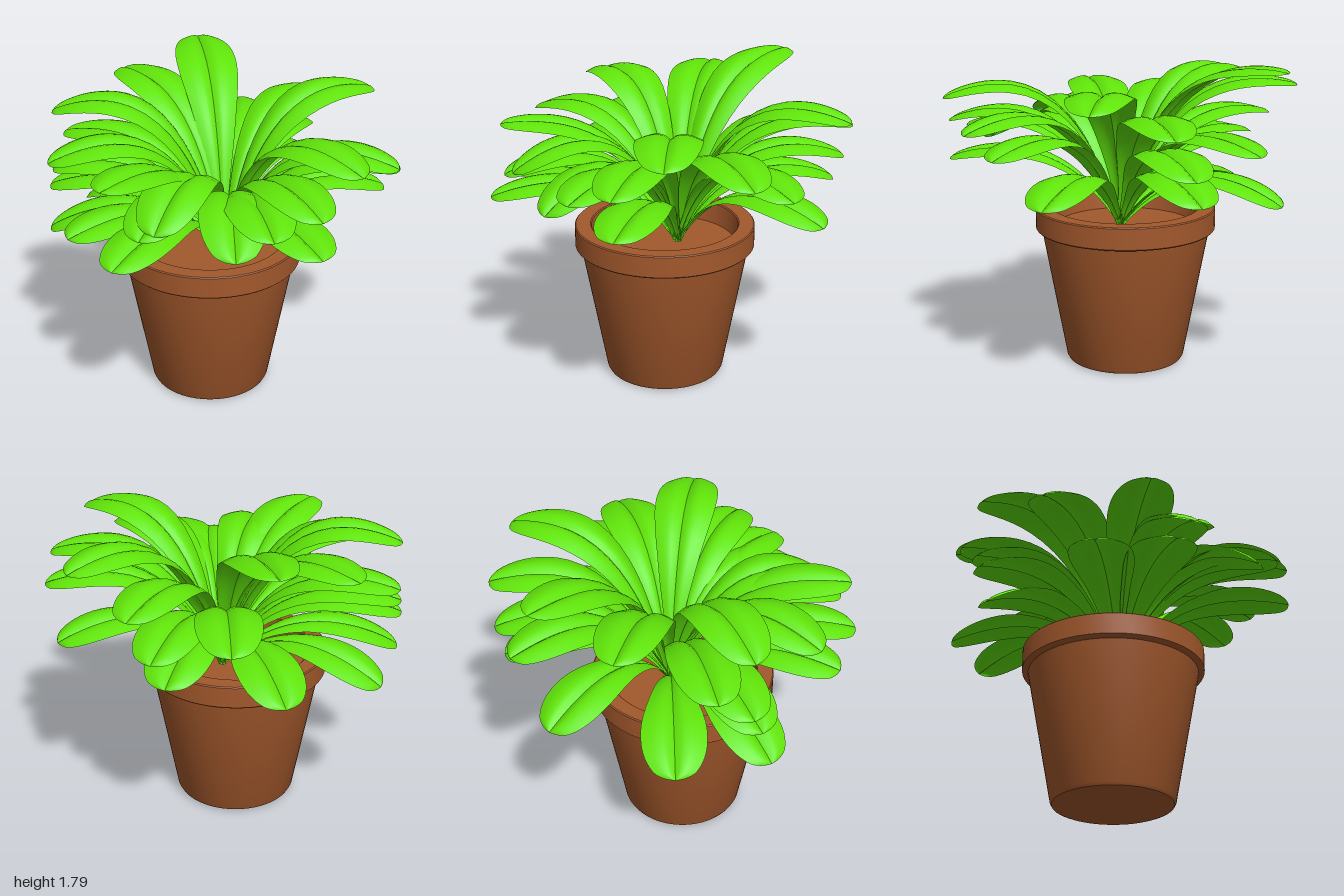
import * as THREE from 'three';
import { toCreasedNormals } from 'three/addons/utils/BufferGeometryUtils.js';

const HUB = { x: -0.005, y: 0.82, z: -0.03 };

// Tip x, tip z, tip height, height of the arch
const LEAVES = [
  // upper tier
  [-0.22, -1.0, 1.5, 1.56], [0.21, -0.99, 1.63, 1.69], [-0.85, -0.57, 1.77, 1.72],
  [-0.99, -0.1, 1.64, 1.64], [-0.79, 0.57, 1.6, 1.71], [-0.44, 0.86, 1.47, 1.57],
  [0.14, 0.95, 1.53, 1.5], [0.75, 0.57, 1.23, 1.45], [0.985, -0.09, 1.58, 1.66],
  [0.85, -0.53, 1.45, 1.53],
  // middle tier
  [0.41, 0.82, 1.34, 1.54], [0.97, 0.18, 1.41, 1.49], [0.87, 0.42, 1.34, 1.41],
  [0.7, -0.72, 1.35, 1.42], [-0.69, -0.74, 1.36, 1.43], [-0.9, 0.41, 1.4, 1.44],
  [-0.8, 0.58, 1.25, 1.32], [0.36, 0.88, 1.31, 1.43], [-0.33, -0.95, 1.28, 1.38],
  // lower tier
  [0.27, 0.99, 1.14, 1.22], [-0.16, 0.95, 1.15, 1.2], [-0.73, 0.67, 0.92, 1.11],
  [-0.95, 0.2, 0.91, 1.1], [-0.85, -0.5, 1.03, 1.19], [-0.37, -0.89, 1.13, 1.25],
  [0.45, -0.87, 1.12, 1.23], [0.97, 0.17, 1.19, 1.25], [-0.78, 0.62, 1.16, 1.26],
];

// Half width along the leaf: thin stalk, broad blade, round tip
const WIDTH = new THREE.CatmullRomCurve3([
  [0, 0.022], [0.2, 0.045], [0.45, 0.11], [0.72, 0.175], [0.87, 0.162], [0.96, 0.11], [0.99, 0.055], [1, 0.004],
].map(([t, w]) => new THREE.Vector3(t, w, 0)));

function leafGeometry([tipX, tipZ, tipY, peak]) {
  const dx = tipX - HUB.x, dz = tipZ - HUB.z;
  const length = Math.hypot(dx, dz), c = dx / length, s = dz / length;
  const spine = new THREE.CubicBezierCurve(
    new THREE.Vector2(0.005, HUB.y),
    new THREE.Vector2(0.24 * length, peak - 0.02),
    new THREE.Vector2(0.58 * length, peak + 0.06),
    new THREE.Vector2(length, tipY));
  const rows = 32, cols = 6, pos = [], index = [];
  // Two softly bulging halves meet in a sharp midrib
  for (const side of [-1, 1]) {
    const start = pos.length / 3;
    for (let i = 0; i <= rows; i++) {
      const station = WIDTH.getPoint(i / rows);
      const t = Math.min(1, station.x);
      const p = spine.getPointAt(t), tan = spine.getTangentAt(t);
      for (let j = 0; j <= cols; j++) {
        const v = side < 0 ? j / cols - 1 : j / cols;
        const w = v * station.y;
        const lift = station.y * 0.17 * Math.sin(Math.PI * Math.abs(v) ** 0.75);
        const r = p.x - tan.y * lift;
        pos.push(r * c - w * s, p.y + tan.x * lift, r * s + w * c);
      }
    }
    for (let i = 0; i < rows; i++) for (let j = 0; j < cols; j++) {
      const a = start + i * (cols + 1) + j, b = a + cols + 1;
      index.push(a, a + 1, b, a + 1, b + 1, b);
    }
  }
  const geo = new THREE.BufferGeometry();
  geo.setAttribute('position', new THREE.Float32BufferAttribute(pos, 3));
  geo.setIndex(index);
  geo.computeVertexNormals();
  return geo;
}

export function createModel() {
  const model = new THREE.Group();
  model.name = 'pottedPlant';
  const clay = new THREE.MeshStandardMaterial({ color: 0xa2582c });
  clay.name = 'terracotta';
  const green = new THREE.MeshStandardMaterial({ color: 0x60e40a, side: THREE.DoubleSide });
  green.name = 'leafGreen';

  // Tapered pot with a banded rim, closed inside at the soil level
  const profile = [
    [0, 0], [0.32, 0], [0.336, 0.007], [0.346, 0.025], [0.486, 0.785], [0.512, 0.79], [0.52, 0.798],
    [0.52, 0.917], [0.514, 0.923], [0.43, 0.923], [0.424, 0.917], [0.405, 0.8], [0, 0.8],
  ].map(([r, y]) => new THREE.Vector2(r, y));
  const pot = new THREE.Mesh(toCreasedNormals(new THREE.LatheGeometry(profile, 64), 0.6), clay);
  pot.name = 'pot';
  pot.position.set(-0.037, 0, 0.05);
  model.add(pot);

  // Rosette of arching leaves
  const foliage = new THREE.Group();
  foliage.name = 'foliage';
  foliage.position.set(HUB.x, 0, HUB.z);
  for (const spec of LEAVES) {
    const leaf = new THREE.Mesh(leafGeometry(spec), green);
    leaf.name = 'leaf';
    foliage.add(leaf);
  }
  model.add(foliage);
  return model;
}
